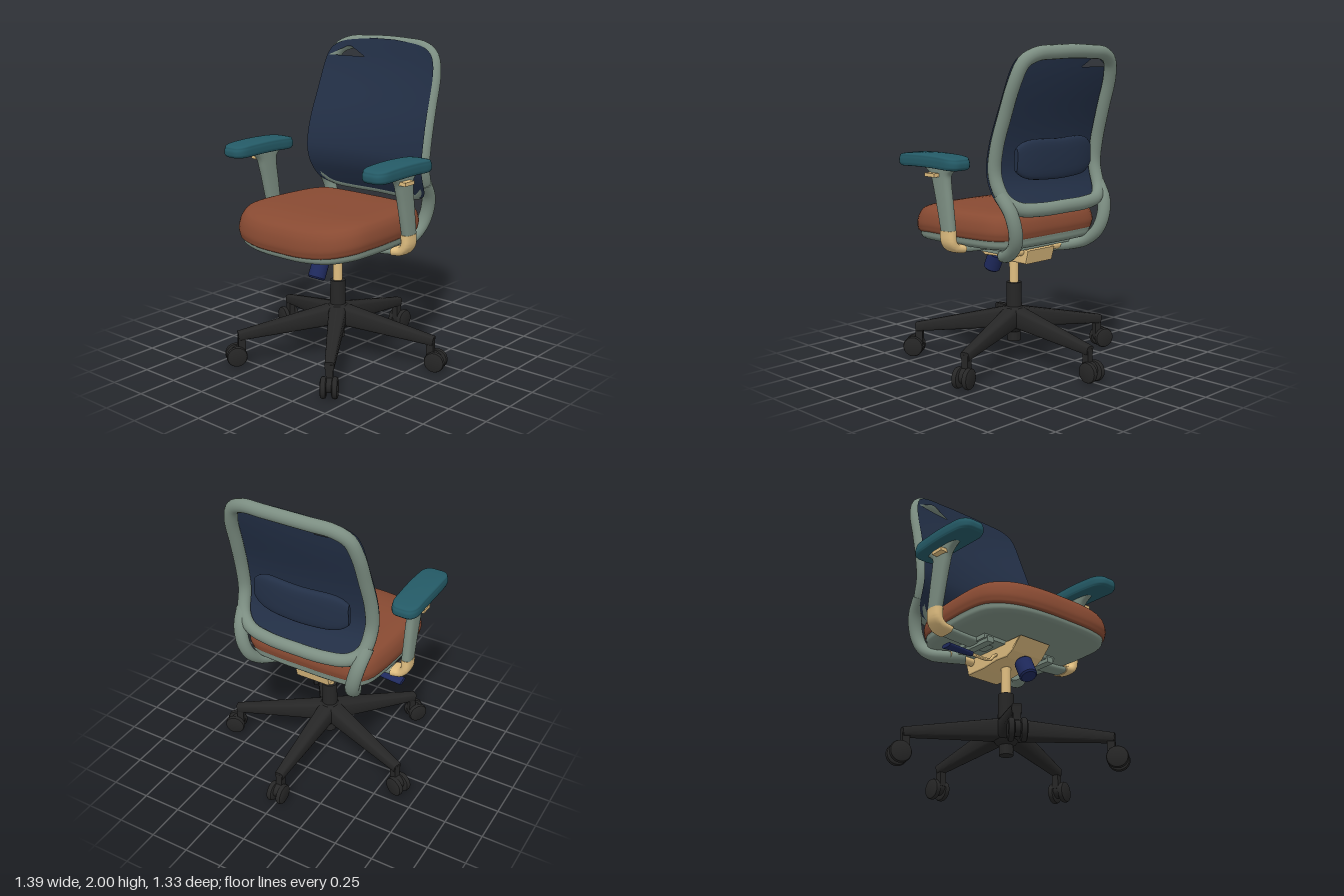
import * as THREE from 'three';
import { mergeVertices, toCreasedNormals } from 'three/addons/utils/BufferGeometryUtils.js';
import { ParametricGeometry } from 'three/addons/geometries/ParametricGeometry.js';

const V = (x, y, z) => new THREE.Vector3(x, y, z);
const mat = (name, color, side = THREE.FrontSide) => {
  const m = new THREE.MeshStandardMaterial({ color, side });
  m.name = name;
  return m;
};

// Smooth interpolation through a table of [key, value] rows
function table(rows, x) {
  const n = rows.length;
  x = THREE.MathUtils.clamp(x, rows[0][0], rows[n - 1][0]);
  let i = 0;
  while (i < n - 2 && x > rows[i + 1][0]) i++;
  const slope = (k) => {
    const a = rows[Math.max(k - 1, 0)], b = rows[Math.min(k + 1, n - 1)];
    return (b[1] - a[1]) / (b[0] - a[0]);
  };
  const h = rows[i + 1][0] - rows[i][0], t = (x - rows[i][0]) / h, t2 = t * t, t3 = t2 * t;
  return (2 * t3 - 3 * t2 + 1) * rows[i][1] + (t3 - 2 * t2 + t) * h * slope(i)
    + (3 * t2 - 2 * t3) * rows[i + 1][1] + (t3 - t2) * h * slope(i + 1);
}

// Welded smooth surface from a (u, v) rule
function surface(fn, nu, nv) {
  const g = new ParametricGeometry(fn, nu, nv);
  g.deleteAttribute('normal');
  g.deleteAttribute('uv');
  const m = mergeVertices(g, 1e-5);
  m.computeVertexNormals();
  return m;
}

// Sweep a rounded or boxy section along a path; size(t) gives [half width, half depth]
function sweep(pts, size, ref, { closed = false, n = 30, around = 16, power = 1 } = {}) {
  const curve = new THREE.CatmullRomCurve3(pts, closed, 'centripetal');
  const bend = (c) => Math.sign(c) * Math.pow(Math.abs(c), power);
  const g = surface((u, v, out) => {
    const j = Math.round(v * n);
    const t = closed ? (j % n) / n : THREE.MathUtils.clamp((j - 1) / (n - 2), 0, 1);
    const T = curve.getTangentAt(t);
    const S = T.clone().cross(ref).normalize();
    const U = T.clone().cross(S);
    const cap = !closed && (j === 0 || j === n) ? 0 : 1;
    const [w, d] = size(t);
    const a = u * Math.PI * 2;
    out.copy(curve.getPointAt(t))
      .addScaledVector(S, cap * w * bend(Math.cos(a)))
      .addScaledVector(U, cap * d * bend(Math.sin(a)));
  }, around, n);
  return toCreasedNormals(g, 0.85);
}

// Full loop from one half outline, mirrored across x
const mirrorLoop = (half) =>
  half.concat(half.slice(1, -1).reverse().map((p) => V(-p.x, p.y, p.z)));

// Stack a scaled plan outline over a [scale, y] profile
function cushionLoft(half, profile, lift = () => 0) {
  const outline = new THREE.CatmullRomCurve3(mirrorLoop(half.map(([x, z]) => V(x, 0, z))), true, 'centripetal');
  const side = new THREE.SplineCurve(profile.map(([s, y]) => new THREE.Vector2(s, y)));
  return surface((u, v, out) => {
    const p = outline.getPointAt(u % 1), q = side.getPoint(v);
    const z = p.z * q.x;
    out.set(p.x * q.x, q.y + lift(z), z);
  }, 72, 36);
}

// Curved plane of the back: depth by height, hollow across the width
const backDepth = [[1.0, -0.345], [1.08, -0.295], [1.185, -0.243], [1.29, -0.228], [1.48, -0.262],
  [1.74, -0.345], [1.85, -0.375], [1.98, -0.4]];
const backZ = (x, y) => table(backDepth, y) - 0.05 * (1 - (x / 0.46) ** 2);
const meshWidth = [[1.015, 0.3], [1.03, 0.38], [1.06, 0.425], [1.12, 0.45], [1.25, 0.462], [1.4, 0.463],
  [1.6, 0.45], [1.8, 0.435], [1.88, 0.415], [1.93, 0.375], [1.965, 0.28], [1.985, 0.08]];

export function createModel() {
  const model = new THREE.Group();
  const black = mat('black plastic', 0x262626);
  const tan = mat('tan metal', 0xe0be80);
  const navy = mat('navy control', 0x1f2a5e);
  const weave = mat('dark blue fabric', 0x233047, THREE.DoubleSide);
  const rust = mat('rust upholstery', 0x884a32);
  const teal = mat('teal pad', 0x245a66);
  const grey = mat('grey green frame', 0x7c8e82);
  const add = (name, geo, material, parent = model) => {
    const m = new THREE.Mesh(geo, material);
    m.name = name;
    parent.add(m);
    return m;
  };
  const box = (w, h, d, x, y, z) => new THREE.BoxGeometry(w, h, d).translate(x, y, z);
  const lathe = (pts, seg = 28) =>
    toCreasedNormals(new THREE.LatheGeometry(pts.map(([r, y]) => new THREE.Vector2(r, y)), seg), 0.6);
  const X = V(1, 0, 0), Y = V(0, 1, 0), Z = V(0, 0, 1);

  // Five-legged base with twin-wheel casters
  const base = new THREE.Group();
  base.name = 'base';
  base.position.z = 0.05;
  model.add(base);
  add('hub', lathe([[0, 0.13], [0.042, 0.13], [0.042, 0.19], [0.06, 0.2], [0.085, 0.24], [0.08, 0.32],
    [0.05, 0.355], [0.047, 0.51], [0, 0.51]]), black, base);
  add('gasColumn', new THREE.CylinderGeometry(0.03, 0.03, 0.25, 24).translate(0, 0.6, 0), tan, base);
  const legGeo = sweep([V(0, 0.285, -0.03), V(0, 0.24, -0.32), V(0, 0.19, -0.64)],
    (t) => [0.058 - 0.03 * t, 0.065 - 0.037 * t], Y, { n: 14, power: 0.45 });
  const wheelGeo = lathe([[0, -0.019], [0.05, -0.019], [0.061, -0.014], [0.065, -0.005], [0.065, 0.005],
    [0.061, 0.014], [0.05, 0.019], [0, 0.019]]).rotateZ(Math.PI / 2);
  for (let i = 0; i < 5; i++) {
    const leg = new THREE.Group();
    leg.name = 'legWithCaster';
    leg.rotation.y = (i * Math.PI * 2) / 5;
    base.add(leg);
    add('leg', legGeo, black, leg);
    add('casterStem', box(0.042, 0.12, 0.045, 0, 0.14, -0.62), black, leg);
    add('casterHood', new THREE.CylinderGeometry(0.045, 0.045, 0.04, 20).rotateZ(Math.PI / 2)
      .translate(0, 0.075, -0.645), black, leg);
    for (const s of [-1, 1]) add('casterWheel', wheelGeo, black, leg).position.set(0.034 * s, 0.065, -0.655);
  }

  // Tilt mechanism under the seat
  const tilt = new THREE.Shape([[0.305, 0.775], [0.24, 0.715], [0.19, 0.69], [0.1, 0.695], [-0.02, 0.68],
    [-0.16, 0.68], [-0.18, 0.75], [-0.02, 0.775]].map(([z, y]) => new THREE.Vector2(z, y)));
  add('tiltHousing', new THREE.ExtrudeGeometry(tilt, { depth: 0.22, bevelSize: 0.01, bevelThickness: 0.01, bevelSegments: 2 })
    .translate(0, 0, -0.11).rotateY(-Math.PI / 2), tan);
  add('pivotBar', new THREE.CylinderGeometry(0.025, 0.025, 0.6, 16).rotateZ(Math.PI / 2).translate(0, 0.745, -0.13), tan);
  add('seatCarrier', box(0.56, 0.04, 0.36, 0, 0.785, 0), grey);
  for (const s of [-1, 1]) add('seatRail', box(0.05, 0.035, 0.34, 0.24 * s, 0.76, 0.02), grey);

  // Tension knob and height lever
  const knob = new THREE.Group();
  knob.name = 'tensionKnob';
  knob.position.set(0, 0.622, 0.23);
  knob.rotation.x = -0.43;
  model.add(knob);
  add('knobGrip', lathe([[0, -0.062], [0.045, -0.062], [0.054, -0.052], [0.054, 0.052], [0.046, 0.062], [0, 0.062]]), navy, knob);
  add('knobStem', new THREE.CylinderGeometry(0.038, 0.038, 0.06, 20).translate(0, 0.085, 0), tan, knob);
  add('leverRod', sweep([V(-0.09, 0.73, 0.1), V(-0.14, 0.71, 0.1), V(-0.17, 0.678, 0.1), V(-0.33, 0.674, 0.1)],
    () => [0.01, 0.01], Z, { around: 10 }), tan);
  add('leverPaddle', sweep([V(-0.31, 0.675, 0.1), V(-0.4, 0.675, 0.1), V(-0.5, 0.675, 0.1)],
    (t) => [0.013, 0.018 + 0.02 * t], Z, { n: 10, power: 0.7 }), navy);

  // Seat pan and cushion, drooping toward the front
  const seatHalf = [[0, 0.455], [0.2, 0.445], [0.36, 0.39], [0.455, 0.275], [0.478, 0.14], [0.475, -0.05],
    [0.455, -0.25], [0.43, -0.36], [0.37, -0.43], [0.2, -0.453], [0, -0.455]];
  const droop = (k) => (z) => -k * (Math.max(0, z - 0.12) / 0.33) ** 2;
  add('seatCushion', cushionLoft(seatHalf, [[0, 0.86], [0.6, 0.855], [0.94, 0.85], [1, 0.885], [1, 0.93],
    [0.96, 0.98], [0.87, 1.01], [0.6, 1.022], [0, 1.022]], droop(0.045)), rust).position.z = 0.155;
  add('seatPan', cushionLoft(seatHalf, [[0, 0.785], [0.5, 0.79], [0.85, 0.795], [0.95, 0.815], [0.97, 0.845],
    [0.96, 0.875], [0.8, 0.88], [0, 0.88]], droop(0.035)), grey).position.z = 0.15;

  // Back frame loop
  const frameHalf = [[0, 1.04], [0.2, 1.04], [0.34, 1.055], [0.415, 1.11], [0.44, 1.25], [0.442, 1.4],
    [0.43, 1.6], [0.413, 1.8], [0.375, 1.9], [0.29, 1.945], [0.15, 1.956], [0, 1.96]]
    .map(([x, y]) => V(x, y, backZ(x, y)));
  add('backFrame', sweep(mirrorLoop(frameHalf), () => [0.042, 0.038], Z, { closed: true, n: 110 }), grey);

  // Stretched back fabric in four patches around a slit near the top
  const patch = (y0, y1, xa, xb, n) => add('backFabric', surface((u, v, out) => {
    const y = y0 + (y1 - y0) * v, x = xa(y) + (xb(y) - xa(y)) * u;
    out.set(x, y, backZ(x, y) + 0.043);
  }, 24, n), weave);
  const right = (y) => table(meshWidth, y), left = (y) => -right(y);
  const slit0 = 1.865, slit1 = 1.925, k = (y) => (y - slit0) / (slit1 - slit0);
  patch(1.015, slit0, left, right, 44);
  patch(slit0, slit1, left, (y) => -0.41 + 0.13 * k(y), 5);
  patch(slit0, slit1, (y) => -0.14 - 0.11 * k(y), right, 5);
  patch(slit1, 1.985, left, right, 8);

  // Lumbar pad behind the fabric
  add('lumbarPad', sweep([V(-0.32, 1.335, -0.285), V(-0.16, 1.33, -0.31), V(0, 1.325, -0.318),
    V(0.16, 1.33, -0.31), V(0.32, 1.335, -0.285)],
  (t) => { const e = Math.abs(2 * t - 1) ** 6; return [0.032 - 0.014 * e, 0.122 - 0.055 * e]; },
  Y, { n: 36, around: 24, power: 0.6 }), weave);

  for (const s of [-1, 1]) {
    const P = (x, y, z) => V(x * s, y, z);

    // Curved support from the back frame to the mechanism
    add('backSupport', sweep([P(0.432, 1.14, -0.27), P(0.415, 1.04, -0.335), P(0.39, 0.93, -0.35), P(0.365, 0.84, -0.322),
      P(0.34, 0.775, -0.25), P(0.29, 0.745, -0.16), P(0.2, 0.74, -0.09)], () => [0.038, 0.045], X), grey);

    // Armrest: crossbar, elbow, post, knob and pad
    add('armCrossbar', sweep([P(0.15, 0.775, 0.06), P(0.35, 0.78, 0.055), P(0.49, 0.793, 0.05)],
      () => [0.05, 0.02], Y, { n: 8, power: 0.6 }), grey);
    add('armElbow', sweep([P(0.46, 0.79, 0.05), P(0.52, 0.805, 0.05), P(0.547, 0.84, 0.05), P(0.55, 0.91, 0.052)],
      (t) => [0.026 + 0.007 * t, 0.062 - 0.006 * t], Z, { power: 0.7 }), tan);
    add('armPost', sweep([P(0.55, 0.89, 0.046), P(0.55, 1.08, 0.08), P(0.55, 1.22, 0.106), P(0.55, 1.29, 0.11)],
      (t) => [table([[0, 0.05], [0.4, 0.06], [0.75, 0.07], [0.88, 0.085], [1, 0.15]], t), 0.031], X, { power: 0.65 }), grey);
    add('armHeightCatch', box(0.05, 0.022, 0.085, 0.592 * s, 1.238, 0.138), tan);
    const pad = add('armPad', cushionLoft([[0, 0.26], [0.05, 0.256], [0.08, 0.22], [0.089, 0.12], [0.088, -0.1],
      [0.08, -0.22], [0.05, -0.256], [0, -0.26]], [[0, 1.283], [0.82, 1.283], [0.97, 1.295], [1, 1.315],
      [0.98, 1.34], [0.85, 1.36], [0, 1.366]], (z) => -0.012 * (z / 0.26) ** 2), teal);
    pad.position.set(0.553 * s, 0, 0.17);
  }
  return model;
}
